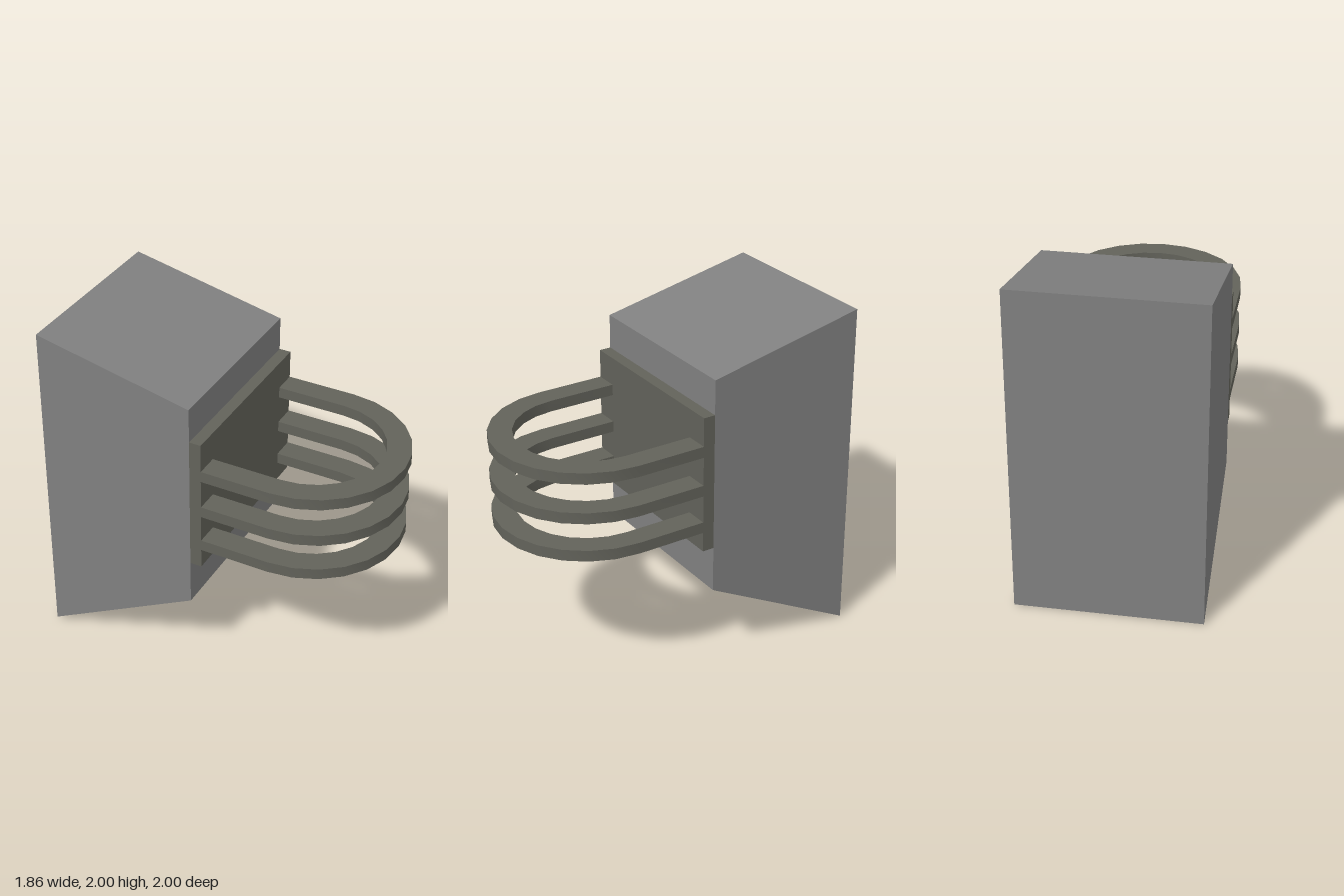
import * as THREE from 'three';
import { toCreasedNormals } from 'three/addons/utils/BufferGeometryUtils.js';

const HALF = 0.548;    // half width of the block
const DEPTH = 0.94;    // back to front of the block
const PLATE = 0.07;    // thickness of the mounting plate
const INNER = 0.41;    // inner radius of the hoops
const ARC_Z = 1.42;    // centre of the hoop curve
const HOOP_H = 0.066;

const mat = (name, color) => {
  const m = new THREE.MeshStandardMaterial({ color });
  m.name = name;
  return m;
};

// Points of a half circle, from +x round to -x
const halfCircle = (r, n = 12) => Array.from({ length: n + 1 }, (_, i) => {
  const a = (i / n) * Math.PI;
  return new THREE.Vector2(r * Math.cos(a), ARC_Z + r * Math.sin(a));
});

export function createModel() {
  const group = new THREE.Group();
  const grey = mat('grey', 0x808080);
  const darkGrey = mat('dark olive grey', 0x62625a);
  const add = (name, geometry, material, y = 0, z = 0) => {
    const mesh = new THREE.Mesh(geometry, material);
    mesh.name = name;
    mesh.position.set(0, y, z);
    group.add(mesh);
  };

  // Wedge block: side profile (depth, height) pulled across the width
  const profile = new THREE.Shape([[0, 0], [DEPTH, 0.5], [DEPTH, 1.8], [0, 2]]
    .map(([z, y]) => new THREE.Vector2(z, y)));
  const block = new THREE.ExtrudeGeometry(profile, { depth: 2 * HALF, bevelEnabled: false });
  block.translate(0, 0, -HALF).rotateY(-Math.PI / 2);
  add('block', block, grey);

  // Mounting plate on the front of the block
  add('mountingPlate', new THREE.BoxGeometry(2 * HALF, 0.82, PLATE), darkGrey, 1.186, DEPTH + PLATE / 2);

  // Three U-shaped hoops
  const front = DEPTH + PLATE;
  const outline = new THREE.Shape([
    new THREE.Vector2(INNER, front), new THREE.Vector2(HALF, front),
    ...halfCircle(HALF),
    new THREE.Vector2(-HALF, front), new THREE.Vector2(-INNER, front),
    ...halfCircle(INNER).reverse(),
  ]);
  const flat = new THREE.ExtrudeGeometry(outline, { depth: HOOP_H, bevelEnabled: false });
  flat.translate(0, 0, -HOOP_H / 2).rotateX(Math.PI / 2);
  const hoop = toCreasedNormals(flat, Math.PI / 6);
  [0.927, 1.156, 1.393].forEach((y, i) => add(`hoop${i + 1}`, hoop, darkGrey, y));

  // Turn the whole piece toward the front left
  group.rotation.y = 0.675;
  group.position.set(-0.5025, 0, -0.6575);
  const model = new THREE.Group();
  model.name = 'wallMount';
  model.add(group);
  return model;
}
